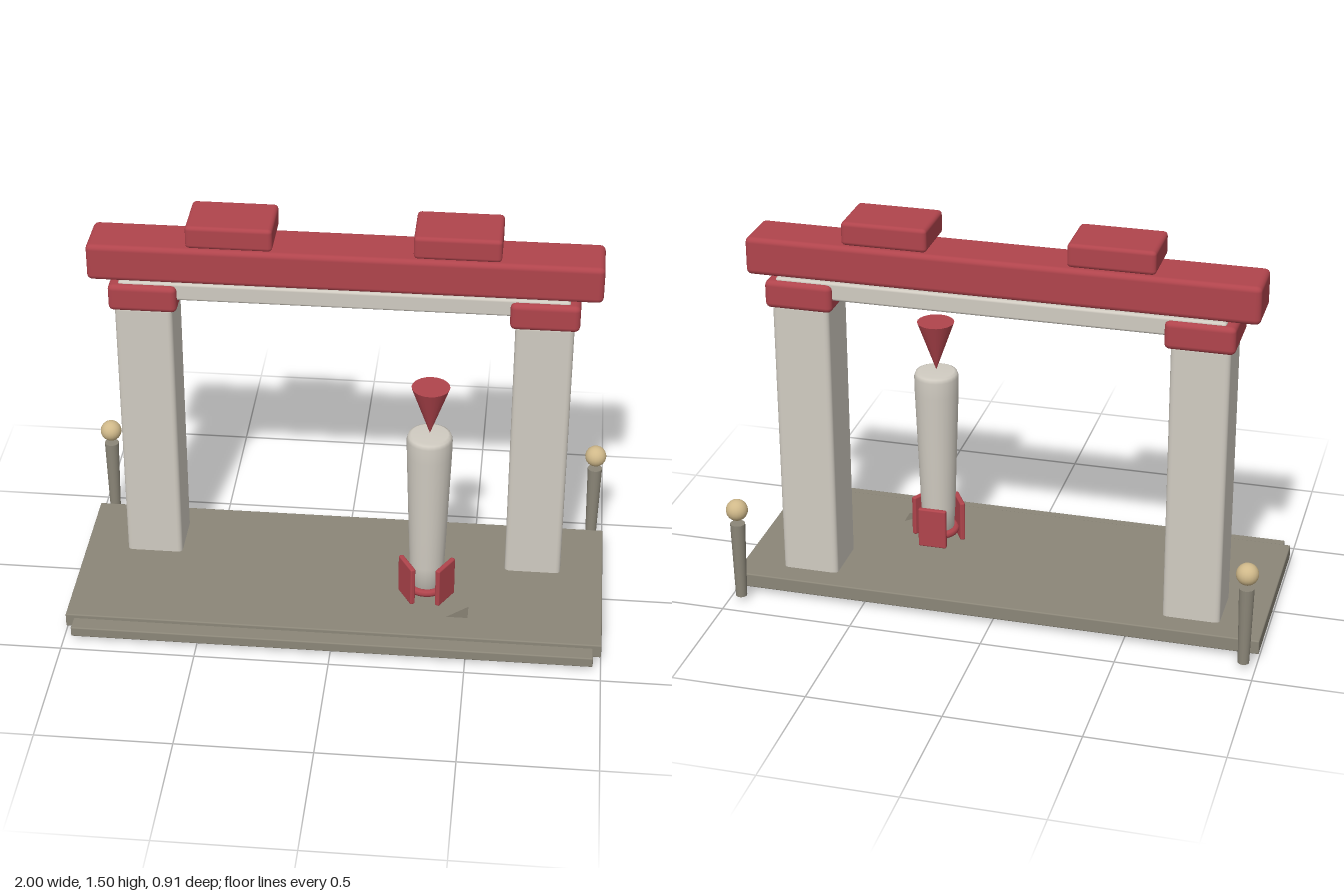
import * as THREE from 'three';
import { RoundedBoxGeometry } from 'three/addons/geometries/RoundedBoxGeometry.js';

const mat = (color) => new THREE.MeshStandardMaterial({ color });
const red = mat(0xb0444c), stone = mat(0xd0cbc1), slate = mat(0x8b8678);
const sand = mat(0xd0b98a), dark = mat(0x5a574f);

export function createModel() {
  const model = new THREE.Group();

  const add = (parent, name, geometry, material, x, y, z) => {
    const mesh = new THREE.Mesh(geometry, material);
    mesh.name = name;
    mesh.position.set(x, y, z);
    parent.add(mesh);
    return mesh;
  };
  // Block given by its limits on each axis, with softened edges
  const block = (name, material, [x0, x1], [y0, y1], [z0, z1], r = 0.015) => add(model, name,
    new RoundedBoxGeometry(x1 - x0, y1 - y0, z1 - z0, 2, r), material,
    (x0 + x1) / 2, (y0 + y1) / 2, (z0 + z1) / 2);

  // Floor slab with a front step and inlaid plates underneath
  block('floorSlab', slate, [-1, 1], [0.02, 0.075], [-0.352, 0.39], 0.005);
  block('frontStep', slate, [-0.97, 0.97], [0.02, 0.06], [0.37, 0.45], 0.005);
  add(model, 'undersidePanel', new THREE.BoxGeometry(0.92, 0.004, 0.425), sand, 0, 0.02, 0.043);
  add(model, 'undersidePatch', new THREE.BoxGeometry(0.32, 0.004, 0.22), dark, 0.31, 0.019, 0.115);
  const chip = new THREE.Shape([[0.5, -0.27], [0.5, -0.2], [0.42, -0.27]]
    .map(([x, y]) => new THREE.Vector2(x, y)));
  add(model, 'floorChip', new THREE.ShapeGeometry(chip).rotateX(-Math.PI / 2), mat(0x7a7568), 0, 0.0765, 0);

  // Gate: pillars, caps, lintel, beam and roof blocks
  for (const s of [-1, 1]) {
    const span = (a, b) => (s > 0 ? [a, b] : [-b, -a]);
    block('pillar', stone, span(0.625, 0.838), [0.018, 1.16], [-0.262, -0.048], 0.018);
    block('pillarCap', red, span(0.605, 0.857), [1.15, 1.255], [-0.285, -0.03], 0.02);
    block('roofBlock', red, span(0.253, 0.568), [1.412, 1.5], [-0.265, -0.048]);

    // Lamp posts at the back corners
    add(model, 'lampPost', new THREE.CylinderGeometry(0.028, 0.021, 0.305, 16), slate, s * 0.955, 0.1725, -0.415);
    add(model, 'lampBall', new THREE.SphereGeometry(0.041, 20, 14), sand, s * 0.955, 0.381, -0.415);
  }
  block('lintel', stone, [-0.82, 0.82], [1.195, 1.264], [-0.266, -0.052], 0.01);
  block('topBeam', red, [-0.935, 0.935], [1.26, 1.402], [-0.256, -0.056], 0.02);

  // Rocket standing in front of the gate
  const rocket = new THREE.Group();
  rocket.name = 'rocket';
  rocket.position.set(0.335, 0, 0.115);
  model.add(rocket);
  const profile = [[0, 0.09], [0.058, 0.09], [0.066, 0.22], [0.073, 0.42], [0.083, 0.7],
    [0.084, 0.765], [0.079, 0.78], [0.068, 0.785], [0, 0.785]].map(([x, y]) => new THREE.Vector2(x, y));
  add(rocket, 'rocketBody', new THREE.LatheGeometry(profile, 24), stone, 0, 0, 0);
  add(rocket, 'noseCone', new THREE.ConeGeometry(0.07, 0.195, 20).rotateX(Math.PI), red, 0, 0.8875, 0);
  add(rocket, 'nozzle', new THREE.ConeGeometry(0.045, 0.1, 16).rotateX(Math.PI), dark, 0, 0.05, 0);
  add(rocket, 'finRing', new THREE.TorusGeometry(0.066, 0.015, 8, 24).rotateX(Math.PI / 2), red, 0, 0.115, 0);

  // Three fin plates spaced around the base
  for (let i = 0; i < 3; i++) {
    const a = Math.PI + i * Math.PI * 2 / 3;
    const fin = add(rocket, 'fin', new RoundedBoxGeometry(0.11, 0.16, 0.02, 2, 0.006), red,
      Math.sin(a) * 0.083, 0.155, Math.cos(a) * 0.083);
    fin.rotation.y = a;
  }
  return model;
}
